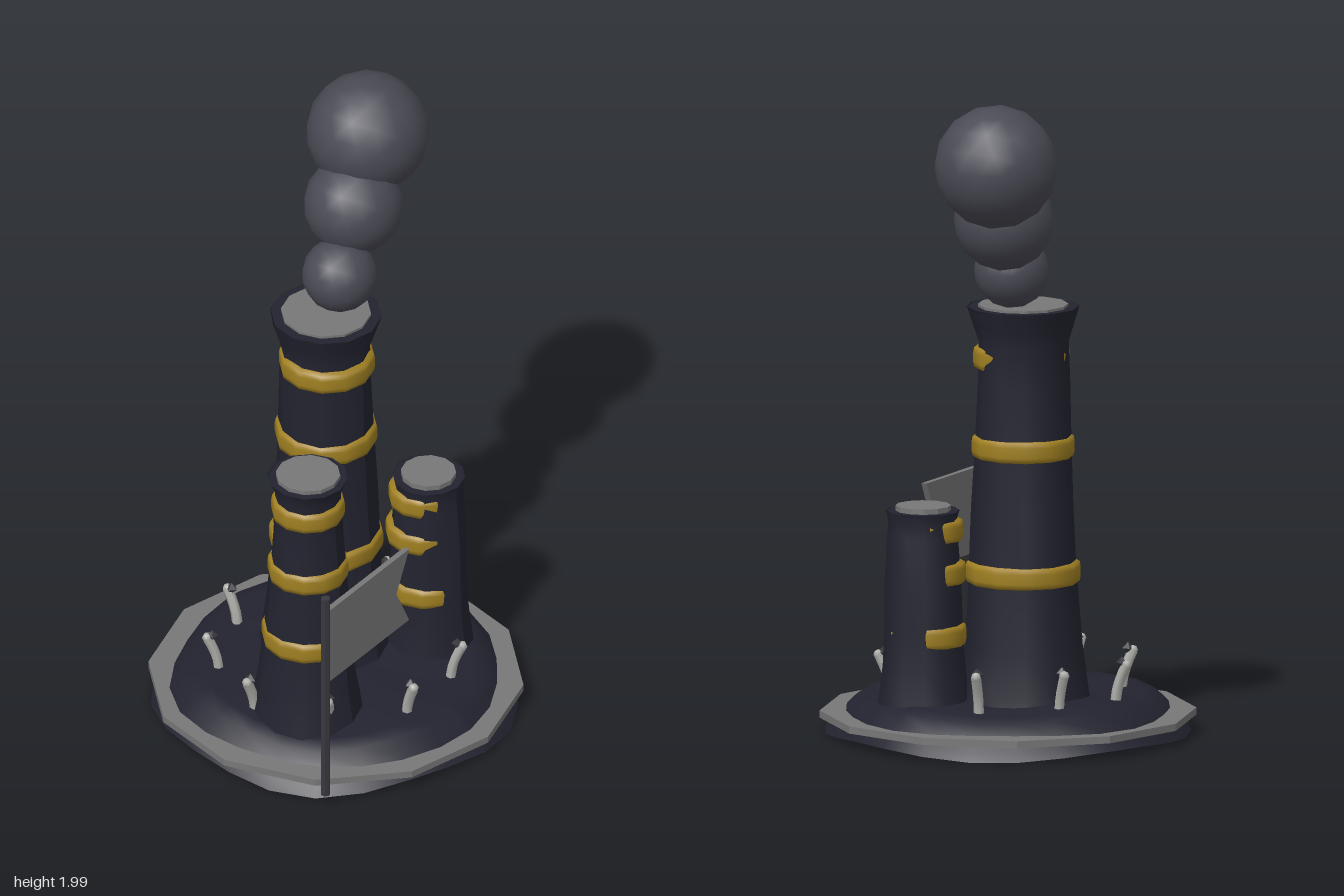
import * as THREE from 'three';

const mat = (name, color, side = THREE.FrontSide) => {
  const m = new THREE.MeshStandardMaterial({ color, side });
  m.name = name;
  return m;
};

// Lathe from [radius, height] pairs, going up the outside
const lathe = (pts, sides) =>
  new THREE.LatheGeometry(pts.map(([r, y]) => new THREE.Vector2(r, y)), sides);

const flat = (geo) => {
  const g = geo.toNonIndexed();
  g.computeVertexNormals();
  return g;
};

export function createModel() {
  const root = new THREE.Group();
  root.name = 'smokingChimneys';

  const rock = mat('darkRock', 0x232330, THREE.DoubleSide);
  const gold = mat('goldBand', 0xa08022);
  const grey = mat('metalGrey', 0x787878);
  const smoke = mat('smokeGrey', 0x4a4a55);
  const bone = mat('paleBone', 0xb0b0ac);
  const iron = mat('darkIron', 0x38383e);

  const add = (parent, name, geo, material, x = 0, y = 0, z = 0) => {
    const m = new THREE.Mesh(geo, material);
    m.name = name;
    m.position.set(x, y, z);
    parent.add(m);
    return m;
  };

  // Open mound with an uneven skirt
  const moundGeo = lathe([[0.555, 0.025], [0.535, 0.05], [0.5, 0.085], [0.46, 0.125],
    [0.41, 0.137], [0.25, 0.145], [0, 0.15]], 24);
  const mp = moundGeo.attributes.position;
  for (let i = 0; i < mp.count; i++) {
    const x = mp.getX(i), z = mp.getZ(i), r = Math.hypot(x, z);
    const a = Math.atan2(z, x), k = r / 0.55;
    const s = 1 + 0.02 * k * Math.sin(5 * a + 1);
    mp.setXYZ(i, x * s, mp.getY(i) + 0.013 * k * Math.sin(4 * a), z * s);
  }
  moundGeo.computeVertexNormals();
  add(root, 'mound', moundGeo, rock);

  // Twelve-sided flat hoop around the mound
  add(root, 'baseRing', flat(lathe([[0.48, 0.063], [0.57, 0.063], [0.57, 0.085],
    [0.48, 0.085], [0.48, 0.063]], 12)), grey);

  // Chimneys: profile, cap and bands; each band is [y, radius, dx, dz]
  const chimney = (name, x, z, profile, capR, capY, bands) => {
    const g = new THREE.Group();
    g.name = name;
    g.position.set(x, 0, z);
    const geo = lathe(profile, 12);
    const p = geo.attributes.position;
    for (let i = 0; i < p.count; i++) {
      const a = Math.atan2(p.getZ(i), p.getX(i)), y = p.getY(i);
      const s = 1 + 0.02 * Math.sin(3 * a + 7 * y);
      p.setX(i, p.getX(i) * s);
      p.setZ(i, p.getZ(i) * s);
    }
    geo.computeVertexNormals();
    add(g, 'shaft', geo, rock);
    const [rimR, rimY] = profile[profile.length - 1];
    add(g, 'rimTop', new THREE.CylinderGeometry(rimR * 0.99, rimR * 0.97, 0.008, 12), rock, 0, rimY - 0.005, 0);
    add(g, 'cap', flat(new THREE.CylinderGeometry(capR, capR, 0.022, 12)), grey, 0, capY - 0.011, 0);
    for (const [y, r, dx = 0, dz = 0] of bands)
      add(g, 'band', lathe([[r - 0.02, -0.036], [r - 0.003, -0.03], [r, -0.015], [r, 0.015],
        [r - 0.003, 0.03], [r - 0.02, 0.036]], 12), gold, dx, y, dz);
    root.add(g);
  };

  chimney('tallChimney', 0.065, -0.085,
    [[0.215, 0.08], [0.195, 0.16], [0.177, 0.3], [0.163, 0.53], [0.155, 0.72], [0.146, 0.92],
      [0.14, 1.1], [0.136, 1.23], [0.152, 1.28], [0.17, 1.338]], 0.137, 1.345,
    [[0.525, 0.174], [0.91, 0.156], [1.18, 0.146, -0.012, 0.012]]);

  chimney('leftChimney', -0.245, 0.075,
    [[0.18, 0.08], [0.168, 0.15], [0.148, 0.27], [0.134, 0.42], [0.118, 0.6], [0.106, 0.78],
      [0.1, 0.92], [0.122, 0.975]], 0.098, 0.987,
    [[0.412, 0.141], [0.65, 0.123], [0.87, 0.112]]);

  chimney('rightChimney', 0.268, 0.15,
    [[0.148, 0.08], [0.137, 0.15], [0.125, 0.25], [0.119, 0.36], [0.116, 0.5], [0.107, 0.65],
      [0.103, 0.69], [0.111, 0.725]], 0.084, 0.74,
    [[0.345, 0.124, -0.005, -0.005], [0.535, 0.112, -0.014, -0.013], [0.665, 0.105, -0.012, -0.012]]);

  // Smoke puffs growing as they drift
  [[0.118, 1.455, -0.073, 0.115], [0.24, 1.63, -0.11, 0.153], [0.36, 1.815, -0.145, 0.188]]
    .forEach(([x, y, z, r]) => add(root, 'smokePuff', new THREE.IcosahedronGeometry(r, 2), smoke, x, y, z));

  // Flagpole with a swallow-tailed flag
  add(root, 'flagPole', flat(new THREE.CylinderGeometry(0.015, 0.015, 0.72, 6)), iron, -0.51, 0.423, 0.335);
  const shape = new THREE.Shape([[-0.5, 0.475], [-0.095, 0.475], [-0.16, 0.605], [-0.095, 0.735], [-0.5, 0.735]]
    .map(([x, y]) => new THREE.Vector2(x, y)));
  add(root, 'flag', new THREE.ExtrudeGeometry(shape, { depth: 0.018, bevelEnabled: false }), grey, 0, 0, 0.326);

  // Bent bone spikes around the mound, each with a dark tip
  const curve = new THREE.CatmullRomCurve3([[0.355, 0.115, 0], [0.362, 0.17, 0], [0.377, 0.215, 0], [0.392, 0.247, 0]]
    .map((p) => new THREE.Vector3(...p)));
  const spikeGeo = new THREE.TubeGeometry(curve, 5, 0.016, 6);
  for (let i = 0; i < 9; i++) {
    const g = new THREE.Group();
    g.name = 'spike';
    g.rotation.y = ((13 + 40 * i) * Math.PI) / 180;
    add(g, 'spikeShaft', spikeGeo, bone);
    add(g, 'spikeEnd', new THREE.SphereGeometry(0.016, 6, 4), bone, 0.392, 0.247, 0);
    add(g, 'spikeTip', flat(new THREE.OctahedronGeometry(0.019)), iron, 0.377, 0.254, 0);
    root.add(g);
  }

  return root;
}
